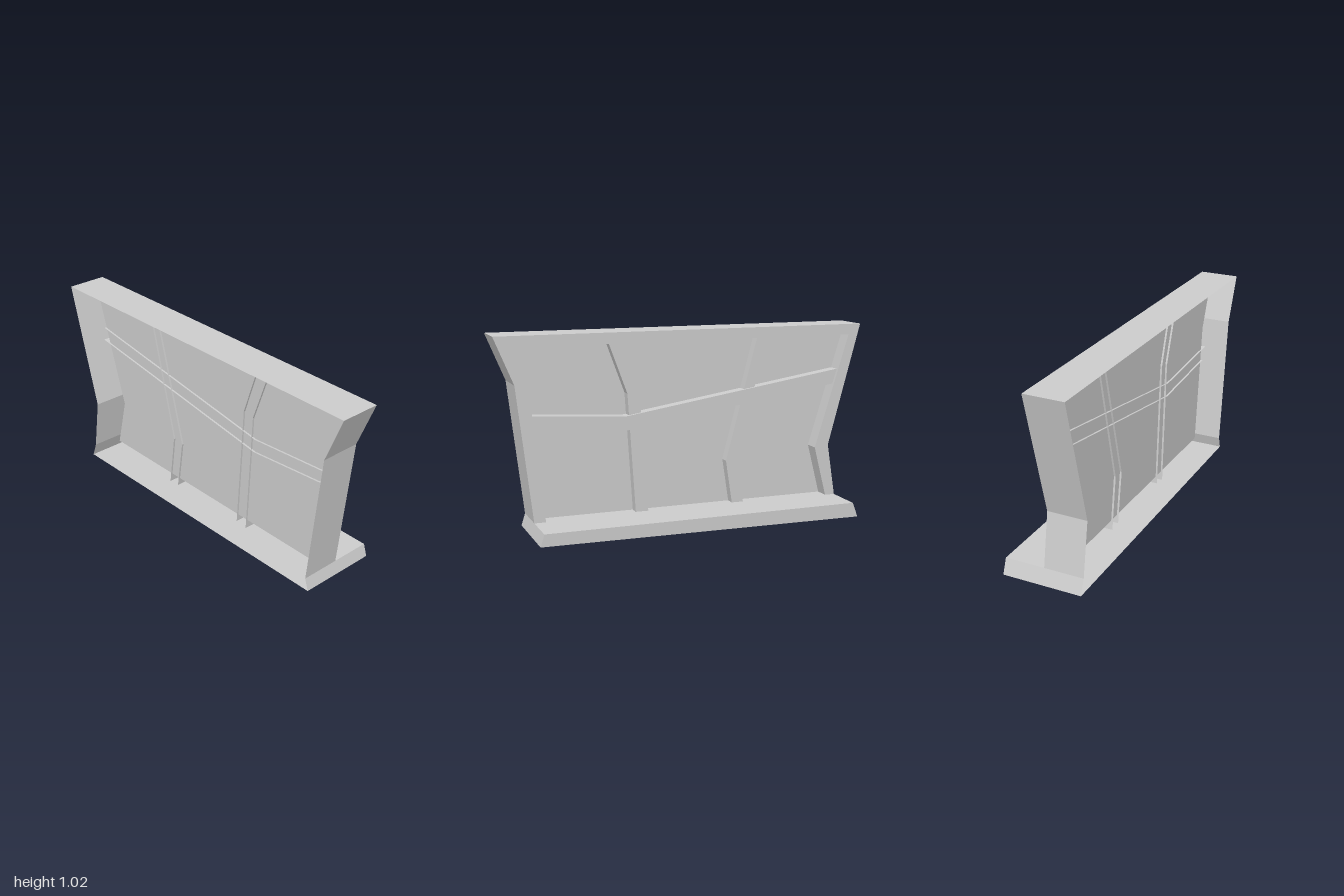
import * as THREE from 'three';

const material = new THREE.MeshStandardMaterial({ color: 0xcccccc, side: THREE.DoubleSide, flatShading: true });

// Depths: open front, back of the frame, glass, back of the sill
const FRONT = 0.21, BACK = 0, GLASS = 0.08, SILL = -0.21;

// Crooked outlines, from lower left over the top to lower right
const outer = [[-0.865, 0.078], [-0.82, 0.36], [-1, 1.016], [1, 1.016], [0.9, 0.775], [0.82, 0.078]];
const inner = [[-0.81, 0.078], [-0.74, 0.35], [-0.93, 0.96], [0.92, 0.96], [0.83, 0.74], [0.76, 0.078]];
const base = [[0.84, 0.015], [-0.895, 0]];

// Flat sheet with the given outline at depth z
function sheet(points, z) {
  const shape = new THREE.Shape(points.map(([x, y]) => new THREE.Vector2(x, y)));
  return new THREE.ShapeGeometry(shape).translate(0, 0, z);
}

// Wall that follows a line of points from depth z0 to z1
function wall(points, z0, z1) {
  const pos = [];
  for (let i = 0; i + 1 < points.length; i++) {
    const [a, b] = [points[i], points[i + 1]];
    pos.push(...a, z0, ...b, z0, ...b, z1, ...a, z0, ...b, z1, ...a, z1);
  }
  const geometry = new THREE.BufferGeometry();
  geometry.setAttribute('position', new THREE.Float32BufferAttribute(pos, 3));
  geometry.computeVertexNormals();
  return geometry;
}

function part(name, ...geometries) {
  const group = new THREE.Group();
  group.name = name;
  for (const geometry of geometries) {
    const mesh = new THREE.Mesh(geometry, material);
    mesh.name = name;
    group.add(mesh);
  }
  return group;
}

// Bent glazing bar: a channel open to the front, its edges passing through the glass
function bar(name, sideA, sideB, zBack) {
  const zEdge = GLASS + 0.01;
  return part(name,
    sheet([...sideA, ...[...sideB].reverse()], zBack),
    wall(sideA, zBack, zEdge),
    wall(sideB, zBack, zEdge));
}

export function createModel() {
  const model = new THREE.Group();
  model.name = 'crookedWindow';

  // Frame: outer wall, back face and the reveal down to the glass
  model.add(part('frame',
    wall(outer, BACK, FRONT),
    sheet([...outer, ...[...inner].reverse()], BACK),
    wall(inner, BACK, GLASS)));

  model.add(part('glass', sheet(inner, GLASS)));

  // Sill: hollow ledge, open at the front
  const [left, right] = [outer[0], outer[outer.length - 1]];
  model.add(part('sill',
    sheet([left, right, ...base], SILL),
    wall([right, ...base, left], SILL, FRONT),
    wall([left, right], SILL, BACK),
    wall([inner[0], inner[inner.length - 1]], BACK, GLASS)));

  // Glazing bars
  model.add(bar('rightUpright',
    [[-0.465, 1.0], [-0.295, 0.315], [-0.335, 0.03]],
    [[-0.412, 1.0], [-0.228, 0.31], [-0.27, 0.035]], 0.03));
  model.add(bar('leftUpright',
    [[0.34, 0.965], [0.252, 0.71], [0.207, 0.04]],
    [[0.413, 0.96], [0.317, 0.7], [0.275, 0.03]], 0.03));
  model.add(bar('crossbar',
    [[-0.88, 0.775], [0.335, 0.585], [0.86, 0.62]],
    [[-0.89, 0.7], [0.33, 0.512], [0.82, 0.55]], 0.015));

  return model;
}
